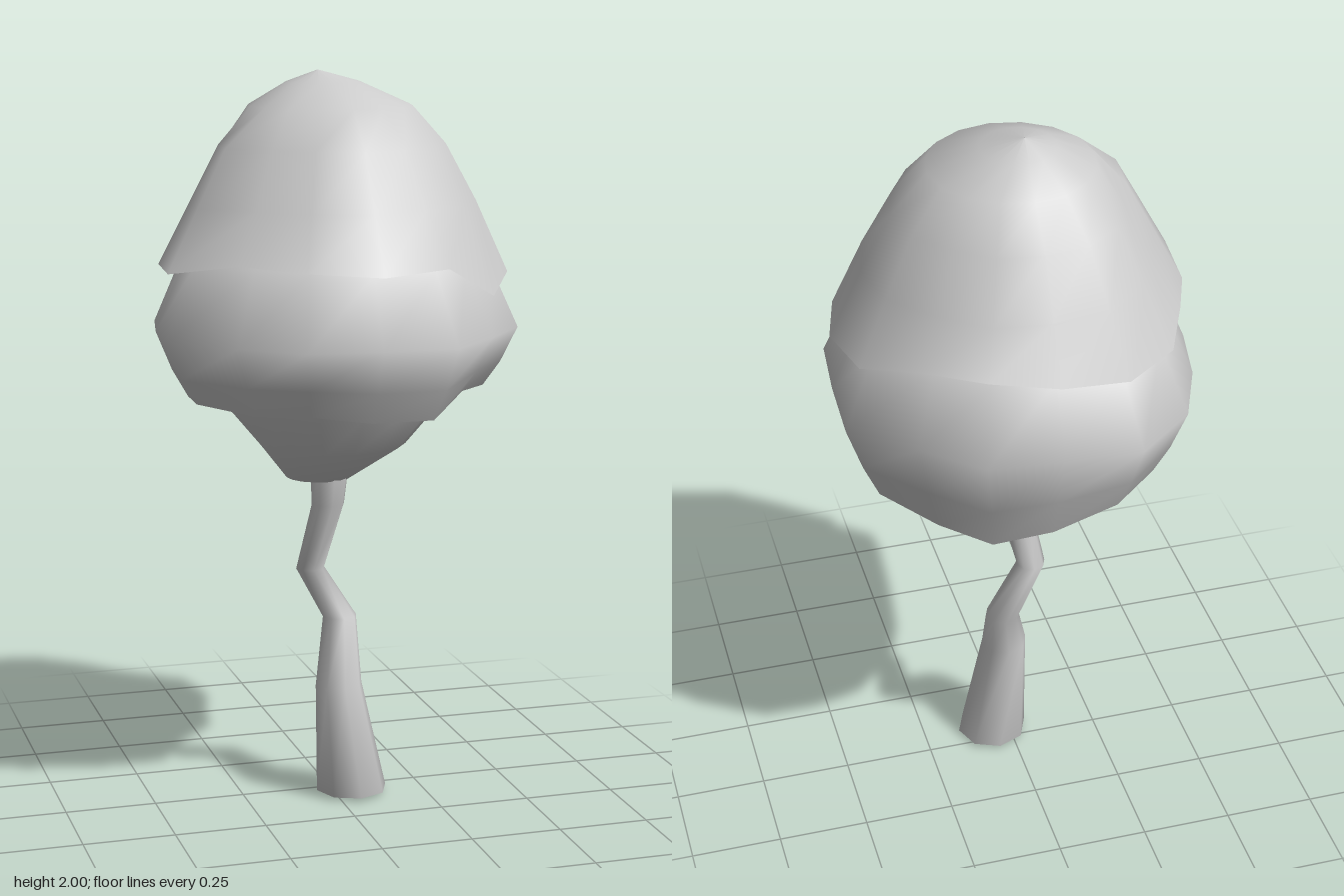
import * as THREE from 'three';

const SIDES = 16;

// Skin a list of rings (bottom to top); ring(a, i) gives a point at angle a from +z towards +x
function loft(name, rings, sides, material) {
  const pos = [], index = [];
  for (const ring of rings)
    for (let i = 0; i < sides; i++) pos.push(...ring((i / sides) * Math.PI * 2, i));
  for (let r = 0; r < rings.length - 1; r++)
    for (let i = 0; i < sides; i++) {
      const j = (i + 1) % sides;
      const a = r * sides + i, b = r * sides + j, c = a + sides, d = b + sides;
      index.push(a, b, d, a, d, c);
    }
  const geo = new THREE.BufferGeometry();
  geo.setAttribute('position', new THREE.Float32BufferAttribute(pos, 3));
  geo.setIndex(index);
  geo.computeVertexNormals();
  const mesh = new THREE.Mesh(geo, material);
  mesh.name = name;
  return mesh;
}

// Ring with radius and height given as a number or as one value per side
const at = (v, i) => (Array.isArray(v) ? v[i] : v);
const ring = (radius, y, cx = 0, cz = 0) => (a, i) => [
  cx + Math.sin(a) * at(radius, i), at(y, i), cz + Math.cos(a) * at(radius, i),
];
const scaled = (list, k) => list.map((v) => v * k);

export function createModel() {
  const group = new THREE.Group();
  const material = new THREE.MeshStandardMaterial({ color: 0xcccccc, side: THREE.DoubleSide });

  // Crooked trunk: [radius, y, x, z]
  const trunk = [
    [0.001, 0, 0.05, 0.05], [0.1, 0.01, 0.05, 0.05], [0.066, 0.32, 0.01, 0.06],
    [0.048, 0.49, 0.038, -0.027], [0.04, 0.64, -0.053, -0.005],
    [0.046, 0.83, -0.015, 0.04], [0.055, 0.94, -0.01, 0.04], [0.06, 1.05, 0, 0.03],
  ];
  group.add(loft('trunk', trunk.map((t) => ring(...t)), 8, material));

  // Lower foliage bowl around the top of the trunk
  group.add(loft('lowerFoliage', [
    ring(0.001, 0.9, -0.03, 0),
    ring(0.09, 0.9, -0.03, 0),
    ring(0.2, 1.0, 0, 0.03),
    ring(0.3, 1.12, 0, 0.03),
    ring(0.4, 1.28),
  ], SIDES, material));

  // Middle foliage skirt with an uneven lower edge
  const belt = [0.49, 0.53, 0.49, 0.51, 0.49, 0.54, 0.48, 0.51,
    0.49, 0.54, 0.52, 0.48, 0.48, 0.54, 0.48, 0.5];
  const hem = [1.12, 1.12, 1.17, 1.16, 1.14, 1.08, 1.03, 1.02,
    1.04, 1.1, 1.11, 1.12, 1.14, 1.15, 1.13, 1.14];
  group.add(loft('middleFoliage', [
    ring(scaled(belt, 0.82), hem),
    ring(scaled(belt, 0.91), hem.map((y) => y * 0.5 + 0.645)),
    ring(belt, 1.32),
    ring(scaled(belt, 0.83), 1.51),
    ring(0.25, 1.6),
  ], SIDES, material));

  // Domed top cap with a flared, uneven rim
  const rim = [0.5, 0.49, 0.49, 0.48, 0.49, 0.49, 0.46, 0.47,
    0.46, 0.48, 0.47, 0.44, 0.47, 0.53, 0.47, 0.48];
  const rimY = [1.51, 1.52, 1.43, 1.47, 1.48, 1.49, 1.54, 1.55,
    1.52, 1.5, 1.5, 1.52, 1.5, 1.5, 1.53, 1.52];
  group.add(loft('topFoliage', [
    ring(rim, rimY),
    ring(scaled(rim, 0.82), 1.66),
    ring(scaled(rim, 0.65), 1.81),
    ring(0.22, 1.91, 0, 0.01),
    ring(0.1, 1.97, -0.01, -0.02),
    ring(0.001, 2, -0.02, -0.04),
  ], SIDES, material));

  return group;
}
